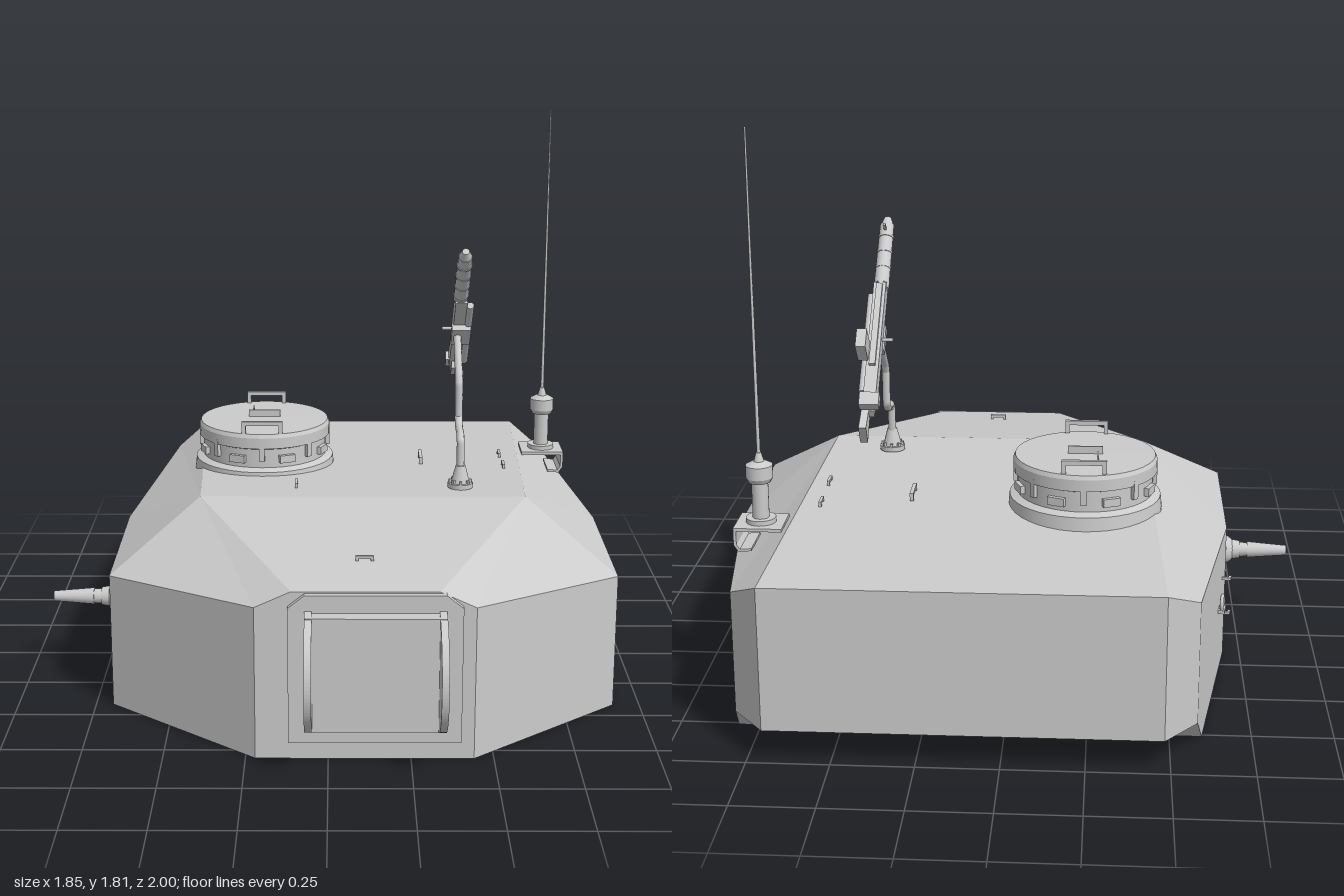
import * as THREE from 'three';

const CX = 0.11; // centre line of the turret body
const material = new THREE.MeshStandardMaterial({ color: 0xcccccc, side: THREE.DoubleSide });
const flatMaterial = new THREE.MeshStandardMaterial({ color: 0xcccccc, flatShading: true });
const V = (x, y, z) => new THREE.Vector3(x, y, z);

function add(parent, name, geometry, x = 0, y = 0, z = 0, rx = 0, ry = 0, rz = 0, mat = material) {
  const mesh = new THREE.Mesh(geometry, mat);
  mesh.name = name;
  mesh.position.set(x, y, z);
  mesh.rotation.set(rx, ry, rz);
  parent.add(mesh);
  return mesh;
}
function group(parent, name, x = 0, y = 0, z = 0) {
  const g = new THREE.Group();
  g.name = name;
  g.position.set(x, y, z);
  parent.add(g);
  return g;
}
const box = (w, h, d) => new THREE.BoxGeometry(w, h, d);
const cyl = (top, bottom, h, n = 20) => new THREE.CylinderGeometry(top, bottom, h, n);
const roofY = z => z > 0.19 ? 0.63 - (z - 0.19) * 0.152 : 0.63 - (0.19 - z) * 0.063;

// Faceted armour shell, mirrored about its centre line
function hullGeometry() {
  const R = [0.53, 0.63, 0.19], T = [0.22, 0.535, 0.805], F = [0.33, 0.485, 0.805];
  const C = [0.805, 0.44, 0.42], S = [0.805, 0.445, -0.15], Q = [0.69, 0.49, -0.88], B = [0.59, 0.555, -1];
  const F0 = [0.33, 0, 0.805], C0 = [0.805, 0, 0.42], S0 = [0.805, 0, -0.15];
  const U0 = [0.709, 0, -0.76], Q0 = [0.69, 0.105, -0.88], B0 = [0.59, 0.105, -1];
  const m = p => [-p[0], p[1], p[2]];
  const sides = [
    [R, C, S], [R, S, Q], [R, Q, B], [R, T, F, C], [F, F0, C0, C],
    [C, C0, S0, S], [S, S0, U0, Q0, Q], [Q, Q0, B0, B],
  ];
  const faces = [
    ...sides, ...sides.map(f => f.map(m)),
    [R, B, m(B), m(R)], [R, T, m(T), m(R)], [T, F, F0, m(F0), m(F), m(T)],
    [B, B0, m(B0), m(B)], [U0, Q0, m(Q0), m(U0)], [Q0, B0, m(B0), m(Q0)],
    [F0, C0, S0, U0, m(U0), m(S0), m(C0), m(F0)],
  ];
  const pos = [], inside = V(0, 0.3, 0);
  for (const f of faces) {
    const p = f.map(a => V(...a));
    for (let i = 1; i < p.length - 1; i++) {
      const tri = [p[0], p[i], p[i + 1]];
      const n = tri[1].clone().sub(tri[0]).cross(tri[2].clone().sub(tri[0]));
      if (n.dot(tri[0].clone().sub(inside)) < 0) tri.reverse();
      tri.forEach(v => pos.push(v.x, v.y, v.z));
    }
  }
  const g = new THREE.BufferGeometry();
  g.setAttribute('position', new THREE.Float32BufferAttribute(pos, 3));
  g.computeVertexNormals();
  return g;
}

// U-shaped grab handle along local x, rising in local y
function handle(parent, name, length, height, r, x, y, z, rx = 0, ry = 0, rz = 0) {
  const h = group(parent, name, x, y, z);
  h.rotation.set(rx, ry, rz);
  add(h, name + 'Bar', box(length, r, r), 0, height, 0);
  for (const s of [-1, 1]) add(h, name + 'Leg', box(r, height, r), s * (length - r) / 2, height / 2, 0);
  return h;
}

function buildMantlet(root) {
  const g = group(root, 'mantlet', CX + 0.03, 0, 0);
  // Frame plate with clipped upper corners
  const plate = new THREE.Shape([[-0.26, 0.06], [0.26, 0.06], [0.26, 0.49], [0.21, 0.53], [-0.21, 0.53], [-0.26, 0.49]]
    .map(p => new THREE.Vector2(...p)));
  add(g, 'mantletFrame', new THREE.ExtrudeGeometry(plate, { depth: 0.04, bevelEnabled: false }), 0, 0, 0.785);
  add(g, 'mantletBlock', box(0.42, 0.36, 0.06), 0, 0.295, 0.84);
  // Half-round cheeks
  const cheek = new THREE.Shape();
  cheek.absarc(0, 0, 0.187, -Math.PI / 2, Math.PI / 2);
  const cheekGeo = new THREE.ExtrudeGeometry(cheek, { depth: 0.022, bevelEnabled: false, curveSegments: 24 });
  for (const x of [-0.21, 0.188])
    add(g, 'mantletCheek', cheekGeo, x + 0.022, 0.295, 0.813, 0, -Math.PI / 2, 0);
}

function buildCupola(root) {
  const g = group(root, 'cupola', -0.23, 0, -0.325);
  const profile = [[0, 0.58], [0.245, 0.58], [0.24, 0.625], [0.215, 0.635], [0.215, 0.7], [0.228, 0.705],
    [0.228, 0.742], [0.222, 0.755], [0, 0.757]].map(p => new THREE.Vector2(...p));
  // Each profile segment gets its own lathe so edges stay sharp
  for (let i = 0; i < profile.length - 1; i++)
    add(g, 'cupolaShell', new THREE.LatheGeometry([profile[i], profile[i + 1]], 40));
  for (let i = 0; i < 8; i++) {
    const a = (i + 0.5) * Math.PI / 4;
    add(g, 'visionBlock', box(0.055, 0.026, 0.03), Math.sin(a) * 0.213, 0.665, Math.cos(a) * 0.213, 0, a, 0);
    add(g, 'cupolaClamp', box(0.018, 0.06, 0.016), Math.sin(a + 0.39) * 0.22, 0.69, Math.cos(a + 0.39) * 0.22, 0, a + 0.39, 0);
  }
  for (const z of [-0.2, 0.205]) handle(g, 'lidHandle', 0.14, 0.035, 0.014, 0, 0.755, z);
  add(g, 'lidLatch', box(0.11, 0.025, 0.006), 0, 0.768, -0.01);
  add(g, 'lidLatchArm', box(0.006, 0.02, 0.045), -0.04, 0.765, -0.065);
}

function buildRoofGun(root) {
  const g = group(root, 'roofGun', 0.435, 0, 0);
  // Flared foot and cranked post
  add(g, 'postFoot', cyl(0.016, 0.035, 0.07, 12), 0, 0.665, 0.07);
  add(g, 'postFlange', cyl(0.042, 0.042, 0.016, 16), 0, 0.634, 0.07);
  for (let i = 0; i < 4; i++)
    add(g, 'postGusset', box(0.076, 0.012, 0.008), 0, 0.647, 0.07, 0, i * Math.PI / 4, 0);
  const path = new THREE.CurvePath();
  const pts = [[0.63, 0.07], [0.775, 0.06], [0.797, 0.035], [0.802, -0.035], [0.825, -0.063],
    [0.94, -0.066], [0.965, -0.08], [1.09, -0.21]].map(([y, z]) => V(0, y, z));
  for (let i = 0; i < pts.length - 1; i++) path.add(new THREE.LineCurve3(pts[i], pts[i + 1]));
  add(g, 'cradlePost', new THREE.TubeGeometry(path, 60, 0.013, 10));
  // Weapon built along local z, then elevated
  const w = group(g, 'weapon', 0, 1.15, -0.19);
  w.rotation.x = -0.77;
  const along = Math.PI / 2;
  add(w, 'barrelJacket', cyl(0.023, 0.025, 0.25, 14), 0.003, 0, 0.235, along);
  add(w, 'muzzle', cyl(0.012, 0.022, 0.03, 14), 0.003, 0, 0.373, along);
  for (let i = 0; i < 4; i++)
    add(w, 'jacketBand', cyl(0.026, 0.026, 0.008, 14), 0.003, 0, 0.13 + i * 0.06, along);
  add(w, 'receiver', box(0.04, 0.055, 0.42), 0.005, 0, -0.09);
  add(w, 'receiverRail', box(0.02, 0.012, 0.3), 0.005, 0.033, -0.04);
  add(w, 'lowerTube', cyl(0.013, 0.013, 0.36, 10), 0.035, -0.022, -0.08, along);
  add(w, 'cradle', box(0.065, 0.03, 0.09), 0.012, -0.035, -0.06);
  add(w, 'ammoBox', box(0.032, 0.085, 0.065), 0.035, 0.07, -0.14);
  add(w, 'rearCap', box(0.062, 0.035, 0.045), 0.005, 0.015, -0.31);
  add(w, 'grip', box(0.02, 0.1, 0.028), 0.01, -0.07, -0.22, 0.15);
  add(w, 'triggerGuard', box(0.012, 0.012, 0.07), 0.01, -0.055, -0.175);
  add(w, 'stockArm', box(0.018, 0.025, 0.1), 0, -0.035, -0.29, 0.3);
  const butt = new THREE.Shape([[-0.045, -0.01], [0.055, -0.04], [0.055, 0.03], [-0.045, 0.02]].map(p => new THREE.Vector2(...p)));
  add(w, 'stock', new THREE.ExtrudeGeometry(butt, { depth: 0.024, bevelEnabled: false }), 0.012, -0.05, -0.345, 0.2, Math.PI / 2, 0);
  add(w, 'sight', box(0.008, 0.03, 0.008), 0.005, 0.035, 0.33);
  add(w, 'chargingLever', cyl(0.006, 0.006, 0.06, 8), -0.02, 0, -0.08, 0, 0, along);
}

function buildAntenna(root) {
  const g = group(root, 'antenna', 0.77, 0, -0.54);
  // Mounting shelf with a curled outer lip
  add(g, 'antennaShelf', box(0.15, 0.01, 0.14), 0, 0.58, 0);
  const lip = new THREE.Shape([[0.065, 0.585], [0.075, 0.575], [0.075, 0.53], [0.06, 0.508], [0.02, 0.512], [0.02, 0.52],
    [0.056, 0.517], [0.066, 0.532], [0.066, 0.575]].map(p => new THREE.Vector2(...p)));
  add(g, 'shelfLip', new THREE.ExtrudeGeometry(lip, { depth: 0.14, bevelEnabled: false }), 0, 0, -0.07);
  const stages = [[0.047, 0.047, 0.585, 0.6], [0.026, 0.026, 0.6, 0.715], [0.042, 0.034, 0.715, 0.73],
    [0.042, 0.042, 0.73, 0.77], [0.02, 0.042, 0.77, 0.782], [0.008, 0.016, 0.782, 0.81]];
  for (const [t, b, y0, y1] of stages) add(g, 'antennaBase', cyl(t, b, y1 - y0), 0, (y0 + y1) / 2, 0);
  add(g, 'antennaWhip', cyl(0.003, 0.006, 1.005, 8), 0, 1.3075, 0);
}

function buildSideGun(root) {
  const g = group(root, 'sideGun', -0.695, 0.26, 0.13);
  g.rotation.z = Math.PI / 2; // local y points outwards (-x)
  add(g, 'ballMount', new THREE.SphereGeometry(0.052, 20, 12));
  add(g, 'ballCollar', cyl(0.045, 0.062, 0.025), 0, 0.01, 0);
  for (const [t, b, y0, y1] of [[0.03, 0.036, 0.03, 0.065], [0.019, 0.026, 0.06, 0.15], [0.023, 0.028, 0.09, 0.15], [0.017, 0.023, 0.15, 0.225]])
    add(g, 'sideGunBarrel', cyl(t, b, y1 - y0, 14), 0, (y0 + y1) / 2, 0);
  for (let i = 0; i < 8; i++) {
    const a = (i + 0.5) * Math.PI / 4;
    add(g, 'mountBolt', new THREE.SphereGeometry(0.015, 10, 6), Math.sin(a) * 0.105, 0, Math.cos(a) * 0.105);
  }
}

export function createModel() {
  const root = new THREE.Group();
  root.name = 'turret';
  add(root, 'hull', hullGeometry(), CX, 0, 0, 0, 0, 0, flatMaterial);
  buildMantlet(root);
  buildCupola(root);
  buildRoofGun(root);
  buildAntenna(root);
  buildSideGun(root);

  // Small lifting loops on the roof
  for (const [x, z, ry] of [[0.605, -0.4, 1.57], [0.605, -0.23, 1.57], [-0.11, 0.05, 1.57], [0.11, 0.62, 0]])
    handle(root, 'roofLoop', 0.055, 0.012, 0.009, x, roofY(z), z, 0, ry, 0);
  handle(root, 'roofHook', 0.1, 0.02, 0.012, 0.32, roofY(-0.32), -0.32, 0, Math.PI / 2, 0);

  // Loops and hooks on both flanks
  for (const s of [-1, 1]) {
    const flank = group(root, s > 0 ? 'leftFlankFittings' : 'rightFlankFittings', CX + s * 0.79, 0, -0.24);
    flank.rotation.y = s * (Math.PI / 2 + 0.156);
    for (const y of [0.19, 0.31]) {
      const loop = handle(flank, 'flankLoop', 0.06, 0.016, 0.009, 0, y, 0);
      loop.rotation.set(Math.PI / 2, 0, Math.PI / 2, 'YXZ');
    }
    add(flank, 'flankHook', new THREE.TorusGeometry(0.024, 0.006, 8, 16), s * 0.1, 0.26, 0.012);
    add(flank, 'flankHookFoot', box(0.05, 0.012, 0.024), s * 0.1, 0.237, 0.01);
  }
  return root;
}
